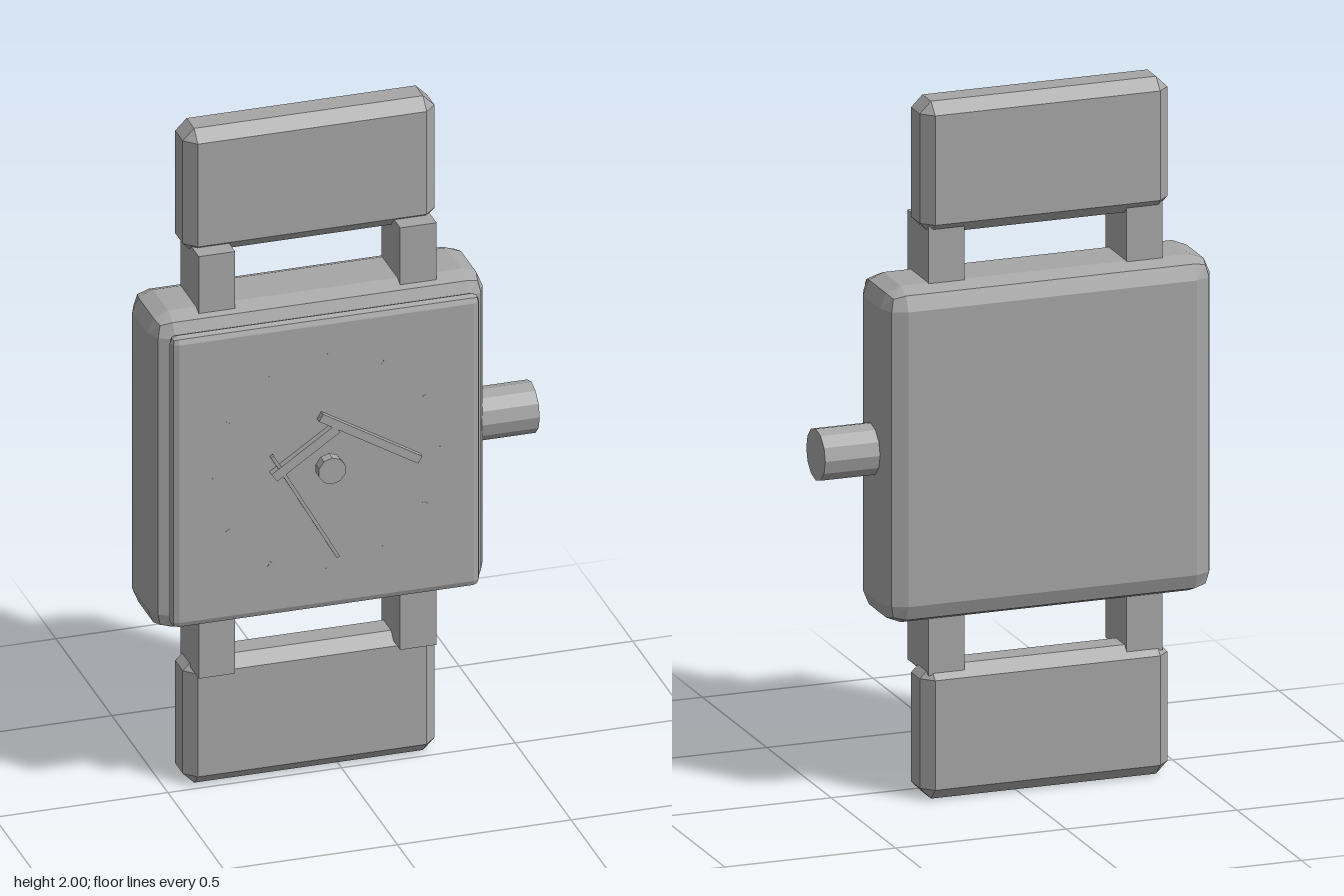
import * as THREE from 'three';
import { RoundedBoxGeometry } from 'three/addons/geometries/RoundedBoxGeometry.js';
import { ConvexGeometry } from 'three/addons/geometries/ConvexGeometry.js';

const grey = new THREE.MeshStandardMaterial({ color: 0xa6a6a6, flatShading: true });
grey.name = 'plain grey';

const CX = -0.083; // the watch body sits left of the origin, balancing the crown

// Box with every edge cut by one flat chamfer
function chamferBox(w, h, d, c) {
  const points = [];
  for (const x of [-1, 1]) for (const y of [-1, 1]) for (const z of [-1, 1]) {
    const [a, b, e] = [w / 2, h / 2, d / 2];
    points.push(
      new THREE.Vector3(x * a, y * (b - c), z * (e - c)),
      new THREE.Vector3(x * (a - c), y * b, z * (e - c)),
      new THREE.Vector3(x * (a - c), y * (b - c), z * e));
  }
  return new ConvexGeometry(points);
}

export function createModel() {
  const model = new THREE.Group();
  model.name = 'wristwatch';

  const add = (name, geometry, x, y, z) => {
    const mesh = new THREE.Mesh(geometry, grey);
    mesh.name = name;
    mesh.position.set(x, y, z);
    model.add(mesh);
    return mesh;
  };

  // Flat bar between two points on the dial
  const bar = (name, x1, y1, x2, y2, width, z, depth) => {
    const length = Math.hypot(x2 - x1, y2 - y1);
    const mesh = add(name, new THREE.BoxGeometry(length, width, depth), (x1 + x2) / 2, (y1 + y2) / 2, z);
    mesh.rotation.z = Math.atan2(y2 - y1, x2 - x1);
  };

  // Case and raised dial plate
  add('case', new RoundedBoxGeometry(0.965, 0.965, 0.255, 1, 0.06), CX, 1.002, -0.0475);
  add('dial', new RoundedBoxGeometry(0.89, 0.89, 0.043, 1, 0.021), CX, 1.002, 0.1035);

  // Strap pieces and the lugs that hold them
  for (const side of [-1, 1]) {
    const end = side > 0 ? 'upper' : 'lower';
    add(end + 'Strap', chamferBox(0.725, 0.38, 0.133, 0.033), CX, side > 0 ? 1.81 : 0.19, -0.07);
    for (const s of [-1, 1]) {
      add(end + (s > 0 ? 'LeftLug' : 'RightLug'), new THREE.BoxGeometry(0.105, 0.25, 0.165),
        CX + s * 0.29, 1.003 + side * 0.52, -0.0375);
    }
  }

  // Winding crown
  const crown = new THREE.CylinderGeometry(0.074, 0.074, 0.2, 12);
  crown.rotateZ(-Math.PI / 2);
  add('crown', crown, 0.46, 1.002, -0.04);

  // Centre pin
  const pin = new THREE.CylinderGeometry(0.04, 0.04, 0.032, 10);
  pin.rotateX(Math.PI / 2);
  add('centrePin', pin, CX, 1.002, 0.16);

  // Hands
  bar('hourHand', -0.105, 1.153, 0.18, 0.982, 0.024, 0.135, 0.02);
  bar('crossHand', -0.24, 0.99, -0.058, 1.113, 0.028, 0.135, 0.02);
  bar('secondHand', -0.245, 1.055, -0.055, 0.72, 0.01, 0.138, 0.012);

  // Hour ticks, almost flush with the dial
  for (let i = 0; i < 12; i++) {
    const a = (i * Math.PI) / 6;
    const inner = i === 0 ? 0.27 : 0.32;
    bar('hourTick', CX + inner * Math.sin(a), 1.002 + inner * Math.cos(a),
      CX + 0.335 * Math.sin(a), 1.002 + 0.335 * Math.cos(a), 0.006, 0.1245, 0.003);
  }
  return model;
}
